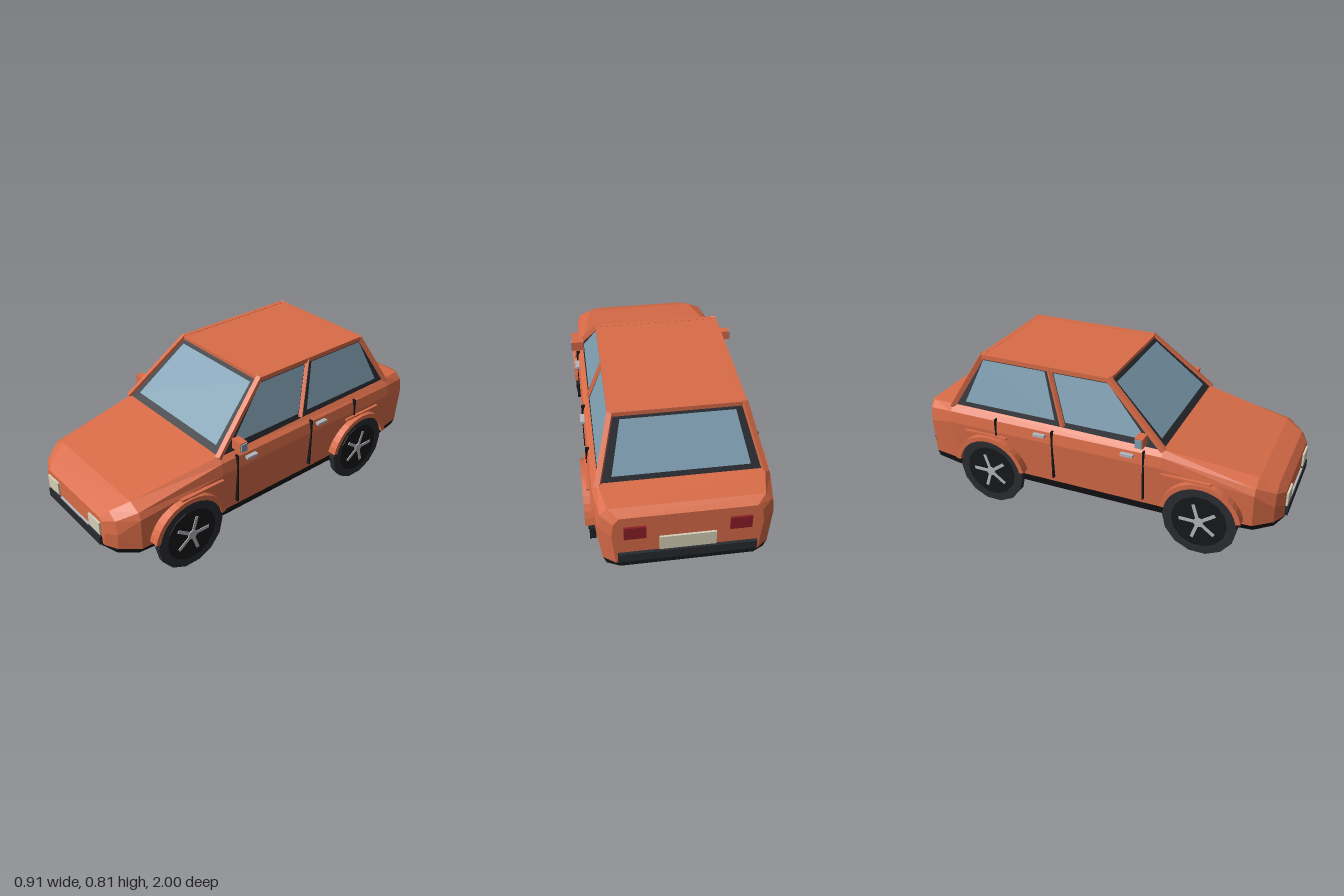
import * as THREE from 'three';

const paint = (color, opts = {}) => new THREE.MeshStandardMaterial({ color, flatShading: true, ...opts });
const ORANGE = paint(0xd96c48);
const BLACK = paint(0x17181b, { side: THREE.DoubleSide });
const TRIM = paint(0x272a30);
const TYRE = paint(0x2a2c31);
const GLASS = paint(0x7f9fb2, { side: THREE.DoubleSide });
const SILVER = paint(0xb4b6bc);
const CREAM = paint(0xd5d0b8);
const RED = paint(0x8c1c28);

// Skin between rings of equal length, closed at both ends
function loft(rings) {
  const pos = [];
  const tri = (...pts) => pts.forEach((p) => pos.push(...p));
  for (let s = 0; s < rings.length - 1; s++) {
    const a = rings[s], b = rings[s + 1];
    for (let i = 0; i < a.length; i++) {
      const j = (i + 1) % a.length;
      tri(a[i], b[i], a[j]);
      tri(b[i], b[j], a[j]);
    }
  }
  const first = rings[0], last = rings[rings.length - 1];
  for (let i = 1; i < first.length - 1; i++) {
    tri(first[0], first[i], first[i + 1]);
    tri(last[0], last[i + 1], last[i]);
  }
  const geo = new THREE.BufferGeometry();
  geo.setAttribute('position', new THREE.Float32BufferAttribute(pos, 3));
  geo.computeVertexNormals();
  return geo;
}

// Half outline [x, y] from the low edge to the top, mirrored into a full ring
const mirrorRing = (z, half) => [
  ...half.map(([x, y]) => [x, y, z]),
  ...half.slice().reverse().map(([x, y]) => [-x, y, z]),
];

// Body stations: z, then floor edge, sill, flank, shoulder, top edge
const STATIONS = [
  [0.985, [[0.24, 0.195], [0.26, 0.21], [0.275, 0.29], [0.255, 0.35], [0.235, 0.362]]],
  [0.95, [[0.31, 0.18], [0.325, 0.21], [0.335, 0.3], [0.32, 0.37], [0.27, 0.4]]],
  [0.86, [[0.36, 0.162], [0.39, 0.205], [0.395, 0.375], [0.38, 0.41], [0.315, 0.438]]],
  [0.4, [[0.385, 0.148], [0.405, 0.2], [0.422, 0.43], [0.412, 0.49], [0.382, 0.517]]],
  [-0.8, [[0.385, 0.148], [0.405, 0.2], [0.422, 0.43], [0.412, 0.49], [0.385, 0.525]]],
  [-0.94, [[0.37, 0.16], [0.385, 0.2], [0.4, 0.4], [0.39, 0.475], [0.355, 0.508]]],
  [-0.985, [[0.31, 0.18], [0.33, 0.205], [0.345, 0.38], [0.335, 0.45], [0.31, 0.485]]],
];

// Cabin surface: inset of each side at height y
const BELT = 0.515, ROOF = 0.8;
const rise = (y) => (y - BELT) / (ROOF - BELT);
const sideX = (y) => 0.385 - 0.08 * rise(y);
const frontZ = (y) => 0.4 - 0.32 * rise(y);
const rearZ = (y) => -0.8 + 0.16 * rise(y);
const cabinRing = (y) => {
  const x = sideX(y), f = frontZ(y), r = rearZ(y);
  return [[x, y, f], [x, y, r], [-x, y, r], [-x, y, f]];
};

export function createModel() {
  const model = new THREE.Group();
  const add = (name, geo, mat, x = 0, y = 0, z = 0) => {
    const mesh = new THREE.Mesh(geo, mat);
    mesh.name = name;
    mesh.position.set(x, y, z);
    model.add(mesh);
    return mesh;
  };
  const box = (name, mat, w, h, d, x, y, z) => add(name, new THREE.BoxGeometry(w, h, d), mat, x, y, z);
  const bar = (name, mat, a, b, w) => {
    const p = new THREE.Vector3(...a), q = new THREE.Vector3(...b);
    const mesh = box(name, mat, w, w, p.distanceTo(q) + w * 0.4, 0, 0, 0);
    mesh.position.lerpVectors(p, q, 0.5);
    mesh.lookAt(q);
  };
  const pane = (name, [a, b, c, d]) => {
    const geo = new THREE.BufferGeometry();
    geo.setAttribute('position', new THREE.Float32BufferAttribute([a, b, c, a, c, d].flat(), 3));
    geo.computeVertexNormals();
    add(name, geo, GLASS);
  };

  // Body shell and dark underbody
  add('body', loft(STATIONS.map(([z, h]) => mirrorRing(z, h.slice(1)))), ORANGE);
  add('underbody', loft(STATIONS.map(([z, h]) => mirrorRing(z, h.slice(0, 2)))), BLACK);

  // Cabin with roof
  add('windowSurround', loft([cabinRing(ROOF), cabinRing(BELT - 0.01)]), TRIM);
  box('roof', ORANGE, 0.61, 0.022, 0.72, 0, 0.796, -0.28);
  for (const z of [0.08, -0.64]) bar('roofCrossRail', ORANGE, [-0.305, 0.797, z], [0.305, 0.797, z], 0.022);

  // Windscreen and rear window
  const e = 0.005;
  pane('windscreen', [
    [-0.33, 0.545, frontZ(0.545) + e], [0.33, 0.545, frontZ(0.545) + e],
    [0.275, 0.778, frontZ(0.778) + e], [-0.275, 0.778, frontZ(0.778) + e],
  ]);
  pane('rearWindow', [
    [0.32, 0.55, rearZ(0.55) - e], [-0.32, 0.55, rearZ(0.55) - e],
    [-0.265, 0.775, rearZ(0.775) - e], [0.265, 0.775, rearZ(0.775) - e],
  ]);

  // Wheel arch outline, shared by all four
  const arch = new THREE.Shape();
  arch.absarc(0, 0, 0.212, 0.2, Math.PI - 0.2, false);
  arch.absarc(0, 0, 0.187, Math.PI - 0.2, 0.2, true);
  const archGeo = new THREE.ExtrudeGeometry(arch, { depth: 0.075, bevelEnabled: false, curveSegments: 8 });
  archGeo.translate(0, 0, -0.0375).rotateY(Math.PI / 2);

  const disc = (r, w, open = false) => new THREE.CylinderGeometry(r, r, w, 14, 1, open).rotateZ(Math.PI / 2);

  for (const s of [1, -1]) {
    // Pillars and roof rails
    const at = (y, z) => [s * sideX(y), y, z];
    bar('frontPillar', ORANGE, at(BELT, 0.4), at(ROOF, 0.08), 0.026);
    bar('rearPillar', ORANGE, at(BELT, -0.8), at(ROOF, -0.64), 0.026);
    bar('middlePillar', ORANGE, at(0.53, -0.145), at(ROOF, -0.25), 0.022);
    bar('roofSideRail', ORANGE, at(0.797, 0.08), at(0.797, -0.64), 0.024);

    // Side windows
    const sidePane = (name, pts) => pane(name, pts.map(([z, y]) => [s * (sideX(y) + e), y, z]));
    sidePane('frontSideWindow', [[0.31, 0.55], [-0.13, 0.55], [-0.22, 0.78], [0.08, 0.78]]);
    sidePane('rearSideWindow', [[-0.19, 0.55], [-0.72, 0.55], [-0.63, 0.78], [-0.27, 0.78]]);

    // Door seams, handles and mirrors
    for (const [z, low] of [[0.31, 0.23], [-0.19, 0.23], [-0.52, 0.4]])
      box('doorSeam', BLACK, 0.02, 0.505 - low, 0.008, s * 0.416, (0.505 + low) / 2, z);
    for (const z of [0.225, -0.26]) box('doorHandle', SILVER, 0.03, 0.014, 0.065, s * 0.422, 0.47, z);
    box('mirror', ORANGE, 0.065, 0.052, 0.042, s * 0.415, 0.56, 0.295);
    box('mirrorGlass', GLASS, 0.008, 0.042, 0.036, s * 0.45, 0.56, 0.295);

    // Lamps
    box('headlight', CREAM, 0.1, 0.07, 0.04, s * 0.195, 0.3, 0.975);
    box('tailLight', RED, 0.1, 0.07, 0.03, s * 0.24, 0.395, -0.98);

    // Wheels and arches
    for (const [z, archX] of [[0.61, 0.407], [-0.56, 0.417]]) {
      add('wheelArch', archGeo, ORANGE, s * archX, 0.19, z);
      box('sideMoulding', ORANGE, 0.02, 0.01, 0.25, s * 0.425, 0.405, z > 0 ? 0.53 : -0.58);
      add('tyre', disc(0.19, 0.032), TYRE, s * 0.42, 0.19, z);
      add('wheelBarrel', disc(0.155, 0.068, true), BLACK, s * 0.374, 0.19, z);
      add('wheelDisc', disc(0.142, 0.006), BLACK, s * 0.437, 0.19, z);
      add('hub', disc(0.025, 0.016), SILVER, s * 0.438, 0.19, z);
      for (let i = 0; i < 5; i++) {
        const t = Math.PI + (i * Math.PI * 2) / 5;
        const spoke = box('spoke', SILVER, 0.01, 0.017, 0.09, s * 0.439, 0.19 + 0.055 * Math.sin(t), z + 0.055 * Math.cos(t));
        spoke.rotation.x = -t;
      }
    }
  }

  // Bumpers and plates
  box('frontBumper', TRIM, 0.49, 0.045, 0.05, 0, 0.232, 0.975);
  box('frontStrip', SILVER, 0.27, 0.006, 0.03, 0, 0.258, 0.98);
  box('rearBumper', TRIM, 0.64, 0.048, 0.04, 0, 0.245, -0.98);
  box('rearPlate', CREAM, 0.26, 0.078, 0.03, 0, 0.315, -0.98);

  return model;
}
